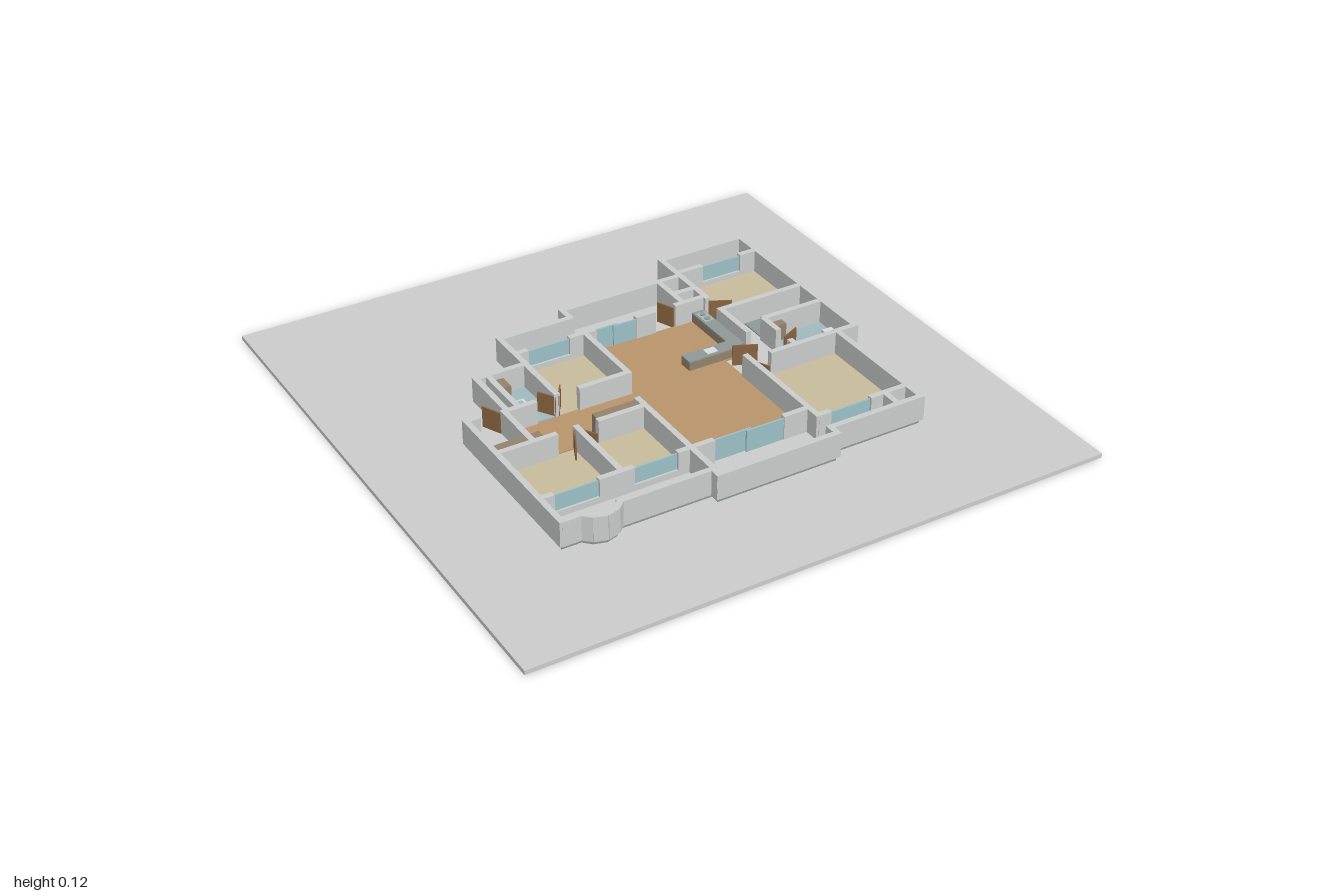
import * as THREE from 'three';

const mat = (name, color, side = THREE.FrontSide) => {
  const m = new THREE.MeshStandardMaterial({ color, side });
  m.name = name;
  return m;
};

export function createModel() {
  const root = new THREE.Group();
  root.name = 'apartmentFloorPlan';
  const M = {
    ground: mat('groundGrey', 0xcccccc),
    wall: mat('wallGrey', 0xcacccc),
    stone: mat('stoneGrey', 0x909797),
    wood: mat('woodFloor', 0xb8946c),
    carpet: mat('carpetTan', 0xc8bb9c),
    tile: mat('tileTeal', 0xa0b8be),
    cabinet: mat('cabinetBrown', 0x94826c),
    door: mat('doorBrown', 0x8a6440),
    glass: mat('glassBlue', 0x9cc0c8),
    fixture: mat('fixtureWhite', 0xd8dcdc),
  };
  const FLOOR = 0.03, TOP = 0.117, T = 0.02;

  const group = (name) => {
    const g = new THREE.Group();
    g.name = name;
    root.add(g);
    return g;
  };
  // Axis-aligned block from its x, z and y limits
  const block = (parent, name, m, x0, z0, x1, z1, y0, y1) => {
    const b = new THREE.Mesh(new THREE.BoxGeometry(x1 - x0, y1 - y0, z1 - z0), m);
    b.position.set((x0 + x1) / 2, (y0 + y1) / 2, (z0 + z1) / 2);
    b.name = name;
    parent.add(b);
    return b;
  };
  // Upright panel along a line in plan
  const panel = (parent, name, m, x0, z0, x1, z1, y0, y1, t = T, extra = 0) => {
    const len = Math.hypot(x1 - x0, z1 - z0) + extra;
    const b = new THREE.Mesh(new THREE.BoxGeometry(len, y1 - y0, t), m);
    b.position.set((x0 + x1) / 2, (y0 + y1) / 2, (z0 + z1) / 2);
    b.rotation.y = -Math.atan2(z1 - z0, x1 - x0);
    b.name = name;
    parent.add(b);
  };
  // Flat slab with a plan outline
  const slab = (name, m, pts, y0, y1) => {
    const shape = new THREE.Shape(pts.map(([x, z]) => new THREE.Vector2(x, z)));
    const g = new THREE.ExtrudeGeometry(shape, { depth: y1 - y0, bevelEnabled: false });
    g.rotateX(Math.PI / 2).translate(0, y1, 0);
    const s = new THREE.Mesh(g, m);
    s.name = name;
    root.add(s);
  };

  block(root, 'ground', M.ground, -1, -1, 1, 1, 0, 0.015);

  // Foundation and pale floor follow the centre line of the outer wall
  const bay = [[-0.46, 0.58], [-0.485, 0.605], [-0.525, 0.617], [-0.565, 0.605], [-0.59, 0.58]];
  const outline = [
    [-0.52, -0.02], [-0.52, -0.22], [-0.345, -0.22], [-0.345, -0.395], [-0.085, -0.395],
    [-0.085, -0.45], [0.37, -0.45], [0.37, -0.57], [0.69, -0.57], [0.69, 0.12], [0.62, 0.12],
    [0.62, 0.575], [0.28, 0.575], [0.28, 0.612], [-0.145, 0.612], [-0.145, 0.58],
    ...bay, [-0.655, 0.58], [-0.655, -0.02],
  ];
  slab('foundation', M.stone, outline, 0.015, FLOOR);
  slab('paleFloor', M.ground, outline.map(([x, z]) => [x * 0.997, z * 0.997]), FLOOR, 0.033);
  slab('bayPlanter', M.stone, bay, 0.033, 0.036);

  // Outer wall, left open beside the entrance
  const outer = group('outerWalls');
  for (let i = 0; i < outline.length - 1; i++) {
    panel(outer, 'outerWall', M.wall, ...outline[i], ...outline[i + 1], FLOOR, TOP, T,
      Math.abs(outline[i][0] + 0.525) < 0.07 && outline[i][1] > 0.5 ? 0.004 : T - 0.001);
  }
  panel(outer, 'entranceWall', M.wall, -0.665, -0.02, -0.61, -0.02, FLOOR, TOP);

  // Room floors
  const floors = group('roomFloors');
  [
    ['livingFloor', M.wood, -0.085, -0.285, 0.315, -0.02],
    ['livingFloor', M.wood, -0.135, -0.02, 0.28, 0.445],
    ['hallFloor', M.wood, -0.52, -0.005, -0.135, 0.175],
    ['kitchenThreshold', M.wood, 0.28, -0.035, 0.37, -0.015],
    ['bedroomFloor', M.carpet, -0.34, -0.285, -0.09, -0.01],
    ['bedroomFloor', M.carpet, -0.65, 0.18, -0.385, 0.445],
    ['bedroomFloor', M.carpet, -0.375, 0.18, -0.14, 0.445],
    ['bedroomFloor', M.carpet, 0.285, 0.125, 0.62, 0.495],
    ['bedroomFloor', M.carpet, 0.37, -0.465, 0.685, -0.195],
    ['bathFloor', M.tile, -0.47, -0.215, -0.35, -0.01],
    ['bathFloor', M.tile, 0.46, -0.065, 0.685, 0.115],
    ['storeFloor', M.stone, 0.46, -0.185, 0.685, -0.075],
    ['planterStrip', M.stone, -0.65, 0.55, -0.145, 0.575],
  ].forEach(([n, m, ...r]) => block(floors, n, m, ...r, 0.032, 0.037));

  // Partition walls as plan lines
  const inner = group('innerWalls');
  [
    [-0.34, -0.29, -0.30, -0.29], [-0.15, -0.29, -0.05, -0.29], [0.10, -0.29, 0.175, -0.29],
    [0.25, -0.29, 0.365, -0.29], [-0.345, -0.39, -0.345, -0.01], [-0.09, -0.29, -0.09, -0.001],
    [-0.27, -0.01, -0.09, -0.01], [-0.48, -0.21, -0.48, -0.01], [-0.52, -0.01, -0.42, -0.01],
    [-0.53, -0.02, -0.53, 0.17], [-0.65, 0.18, -0.45, 0.18], [-0.31, 0.18, -0.14, 0.18],
    [-0.38, 0.17, -0.38, 0.45], [-0.14, 0.13, -0.14, 0.58],
    [-0.65, 0.45, -0.61, 0.45], [-0.46, 0.45, -0.34, 0.45], [-0.19, 0.45, -0.06, 0.45],
    [0.19, 0.45, 0.28, 0.45], [0.285, 0.09, 0.285, 0.509], [0.285, 0.5, 0.33, 0.5],
    [0.48, 0.5, 0.62, 0.5], [0.535, 0.5, 0.535, 0.57], [0.36, 0.12, 0.62, 0.12],
    [0.46, -0.07, 0.46, 0.02], [0.46, 0.085, 0.46, 0.12], [0.455, -0.07, 0.69, -0.07],
    [0.365, -0.19, 0.69, -0.19], [0.37, -0.47, 0.47, -0.47], [0.62, -0.47, 0.69, -0.47],
    [0.37, -0.45, 0.37, -0.27], [0.37, -0.2, 0.37, -0.02], [0.285, -0.45, 0.285, -0.29],
    [0.285, -0.355, 0.37, -0.355],
  ].forEach((w) => panel(inner, 'innerWall', M.wall, ...w, FLOOR, TOP - 0.0005));

  // Windows above low sills, and full-height sliding glass
  const windows = group('windows');
  [
    [-0.30, -0.29, -0.15, -0.29], [-0.61, 0.45, -0.46, 0.45], [-0.34, 0.45, -0.19, 0.45],
    [0.33, 0.5, 0.48, 0.5], [0.47, -0.47, 0.62, -0.47],
  ].forEach((w) => {
    panel(windows, 'windowSill', M.wall, ...w, FLOOR, 0.055);
    panel(windows, 'windowGlass', M.glass, ...w, 0.055, 0.11, 0.006);
  });
  [[-0.05, -0.29, 0.10, -0.29], [-0.06, 0.45, 0.19, 0.45]].forEach(([x0, z, x1]) => {
    const mid = (x0 + x1) / 2;
    panel(windows, 'slidingGlass', M.glass, x0, z - 0.004, mid + 0.01, z - 0.004, FLOOR, 0.11, 0.006);
    panel(windows, 'slidingGlass', M.glass, mid - 0.01, z + 0.004, x1, z + 0.004, FLOOR, 0.11, 0.006);
  });

  // Door leaves standing ajar
  const doors = group('doors');
  [
    [-0.57, -0.08, -0.54, -0.015], [-0.385, -0.065, -0.35, -0.01], [-0.305, -0.065, -0.34, -0.01],
    [-0.415, 0.235, -0.39, 0.18], [-0.34, 0.235, -0.375, 0.18], [0.22, -0.345, 0.245, -0.285],
    [0.37, -0.265, 0.44, -0.23], [0.285, 0.015, 0.36, 0.05], [0.46, 0.055, 0.525, 0.025],
    [0.29, 0.12, 0.32, 0.18],
  ].forEach((d) => panel(doors, 'doorLeaf', M.door, ...d, 0.034, 0.108, 0.005));

  // Wardrobes and bathroom cabinets
  const cupboards = group('cupboards');
  [
    [-0.645, 0.13, -0.54, 0.17, 0.108], [-0.52, 0.13, -0.485, 0.17, 0.108],
    [-0.3, 0.13, -0.15, 0.17, 0.108], [-0.465, -0.21, -0.43, -0.155, 0.095],
    [0.47, -0.06, 0.525, -0.03, 0.095],
  ].forEach(([x0, z0, x1, z1, h]) => block(cupboards, 'cupboard', M.cabinet, x0, z0, x1, z1, FLOOR, h));

  // Kitchen units with stone worktops, sink and hob
  const kitchen = group('kitchen');
  [[0.315, -0.28, 0.36, -0.03], [0.145, -0.07, 0.315, -0.02]].forEach((r) => {
    block(kitchen, 'kitchenUnit', M.cabinet, ...r, FLOOR, 0.066);
    block(kitchen, 'worktop', M.stone, ...r, 0.066, 0.071);
  });
  block(kitchen, 'sink', M.fixture, 0.22, -0.06, 0.26, -0.03, 0.071, 0.073);
  block(kitchen, 'hob', M.tile, 0.32, -0.265, 0.355, -0.205, 0.071, 0.073);
  for (const z of [-0.25, -0.22]) {
    const ring = new THREE.Mesh(new THREE.CylinderGeometry(0.01, 0.01, 0.003, 16), M.stone);
    ring.position.set(0.338, 0.0745, z);
    ring.name = 'hobRing';
    kitchen.add(ring);
  }

  // Bathroom fixtures
  const bath = group('bathroomFixtures');
  block(bath, 'bathtub', M.fixture, 0.47, 0.055, 0.62, 0.107, FLOOR, 0.056);
  block(bath, 'bathWater', M.tile, 0.478, 0.062, 0.612, 0.1, 0.056, 0.058);
  block(bath, 'toilet', M.fixture, 0.64, 0.01, 0.678, 0.075, FLOOR, 0.055);
  block(bath, 'washstand', M.fixture, -0.468, -0.115, -0.41, -0.065, FLOOR, 0.064);
  block(bath, 'basin', M.tile, -0.455, -0.105, -0.42, -0.075, 0.064, 0.066);
  block(bath, 'toilet', M.fixture, -0.46, -0.055, -0.425, -0.022, FLOOR, 0.055);

  return root;
}
